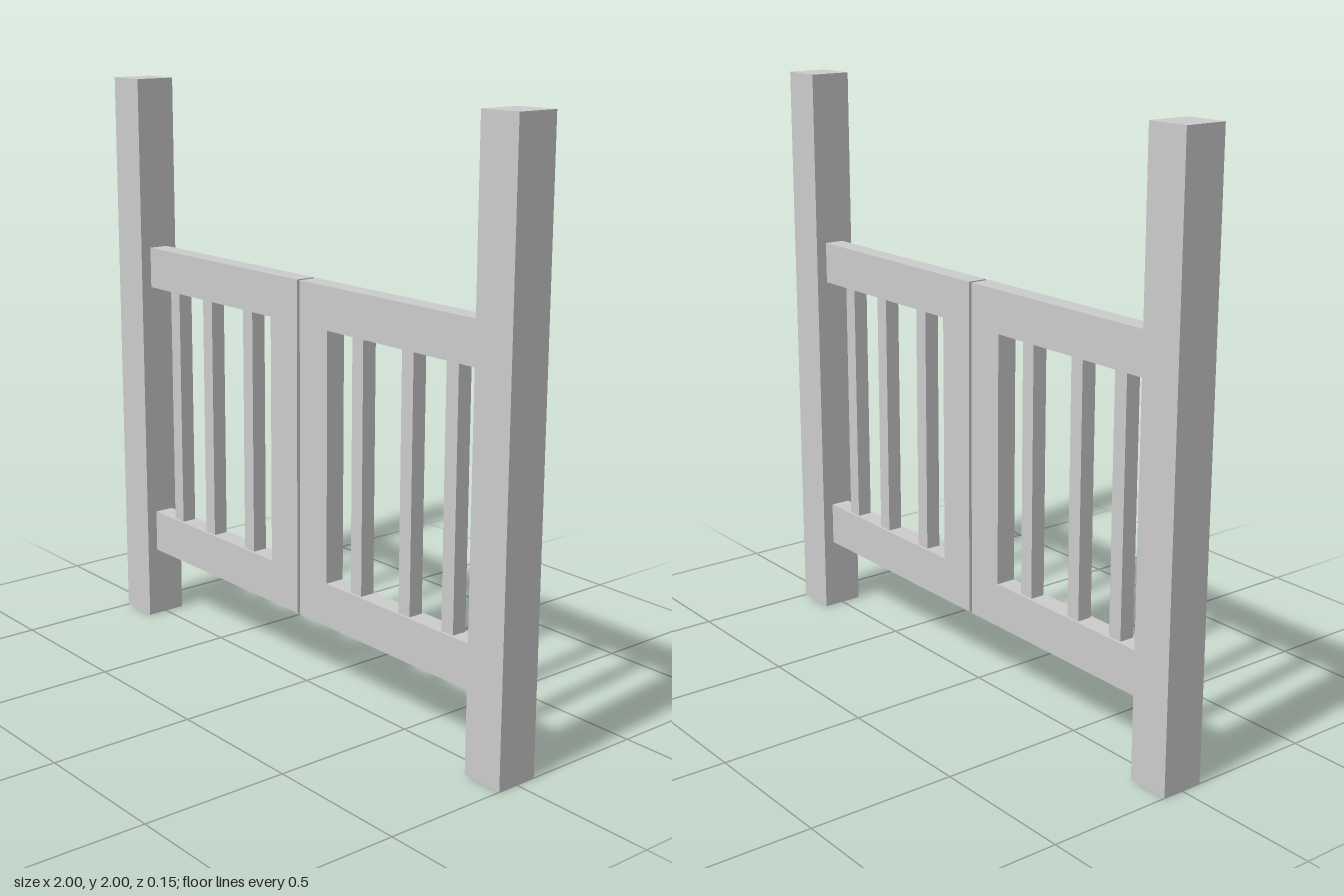
import * as THREE from 'three';

const POST = 0.147, DEPTH = 0.07, BAR = 0.052;
const LOW = [0.253, 0.403], HIGH = [1.256, 1.4]; // rail heights
const MEET = 0.007, STILE = 0.147, HINGE = 0.853;

// Square post, hollow at its foot
function postGeometry() {
  const geo = new THREE.BoxGeometry(POST, 2, POST);
  const index = Array.from(geo.index.array);
  index.splice(18, 6); // drop the bottom face
  geo.setIndex(index);
  geo.clearGroups();
  return geo;
}

// Two rails and the meeting stile as one C-shaped frame
function frameGeometry(side) {
  const outline = [
    [MEET, LOW[0]], [HINGE, LOW[0]], [HINGE, LOW[1]], [STILE, LOW[1]],
    [STILE, HIGH[0]], [HINGE, HIGH[0]], [HINGE, HIGH[1]], [MEET, HIGH[1]],
  ];
  const shape = new THREE.Shape(outline.map(([x, y]) => new THREE.Vector2(side * x, y)));
  const geo = new THREE.ExtrudeGeometry(shape, { depth: DEPTH, bevelEnabled: false });
  return geo.translate(0, 0, -DEPTH / 2);
}

export function createModel() {
  const group = new THREE.Group();
  group.name = 'doubleGate';
  const grey = new THREE.MeshStandardMaterial({ color: 0xcccccc, side: THREE.DoubleSide });
  grey.name = 'lightGrey';

  const add = (parent, name, geo, x = 0, y = 0) => {
    const mesh = new THREE.Mesh(geo, grey);
    mesh.name = name;
    mesh.position.set(x, y, 0);
    parent.add(mesh);
  };

  const post = postGeometry();
  const bar = new THREE.BoxGeometry(BAR, HIGH[0] - LOW[1], BAR);

  for (const side of [-1, 1]) {
    const label = side > 0 ? 'left' : 'right';
    add(group, label + 'Post', post, side * (1 - POST / 2), 1);

    // Gate leaf with three upright bars
    const leaf = new THREE.Group();
    leaf.name = label + 'Leaf';
    add(leaf, 'frame', frameGeometry(side));
    [0.286, 0.518, 0.714].forEach((x, i) =>
      add(leaf, 'bar' + (i + 1), bar, side * x, (HIGH[0] + LOW[1]) / 2));
    group.add(leaf);
  }
  return group;
}
